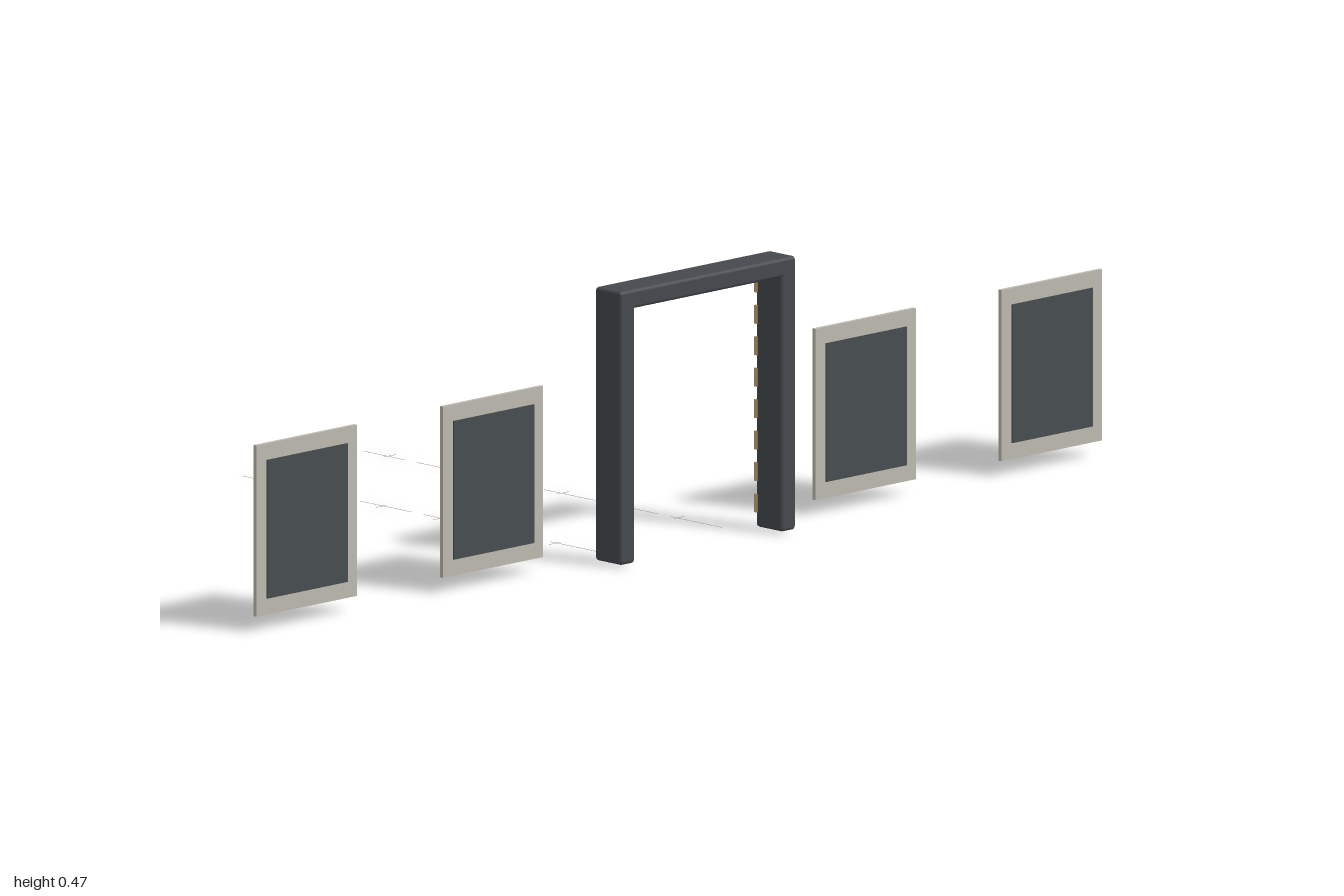
import * as THREE from 'three';
import { RoundedBoxGeometry } from 'three/addons/geometries/RoundedBoxGeometry.js';

export function createModel() {
  const model = new THREE.Group();
  const mat = (name, color) => {
    const m = new THREE.MeshStandardMaterial({ color });
    m.name = name;
    return m;
  };
  const charcoal = mat('charcoal', 0x45494e);
  const slate = mat('slate', 0x474d50);
  const stone = mat('stone', 0xbdbab0);
  const amber = mat('amber', 0xcca870);
  const pale = mat('pale', 0xf0e6d0);
  const marking = mat('marking', 0x94918a);
  marking.side = THREE.DoubleSide;

  const add = (parent, name, geometry, material, pos) => {
    const mesh = new THREE.Mesh(geometry, material);
    mesh.name = name;
    mesh.position.set(...pos);
    parent.add(mesh);
    return mesh;
  };
  const box = (parent, name, material, size, pos) =>
    add(parent, name, new THREE.BoxGeometry(...size), material, pos);
  const group = (name, x = 0) => {
    const g = new THREE.Group();
    g.name = name;
    g.position.x = x;
    model.add(g);
    return g;
  };

  // Gate: two soft-edged posts under a lintel
  const gate = group('gate');
  const z = 0.453;
  add(gate, 'lintel', new RoundedBoxGeometry(0.414, 0.033, 0.063, 2, 0.006), charcoal, [0, 0.4575, z]);
  for (const side of [-1, 1]) {
    add(gate, 'post', new RoundedBoxGeometry(0.034, 0.464, 0.063, 2, 0.006), charcoal, [side * 0.19, 0.236, z]);
    // Light bars along the inner back edge of the post
    for (let i = 0; i < 8; i++) {
      box(gate, 'postLight', amber, [0.012, 0.032, 0.006], [side * 0.178, 0.045 + i * 0.054, 0.4225]);
    }
  }
  box(gate, 'lintelLight', pale, [0.245, 0.005, 0.007], [0, 0.4395, 0.4185]);

  // Four framed wall panels
  for (const x of [-0.88, -0.44, 0.44, 0.88]) {
    const panel = group('wallPanel', x);
    box(panel, 'panelFrame', stone, [0.237, 0.294, 0.0075], [0, 0.173, 0.4108]);
    box(panel, 'panelFace', slate, [0.19, 0.238, 0.003], [0, 0.173, 0.4155]);
    box(panel, 'backRail', amber, [0.135, 0.006, 0.002], [0, 0.243, 0.4062]);
  }

  // Dashed floor lines with cross ticks behind the gate, flat on the ground
  const floor = group('floorMarkings');
  const stripe = (name, width, length, x, zPos) => {
    const geometry = new THREE.PlaneGeometry(width, length).rotateX(-Math.PI / 2);
    add(floor, name, geometry, marking, [x, 0, zPos]);
  };
  for (const side of [-1, 1]) {
    for (let i = 0; i < 6; i++) {
      const front = 0.375 - i * 0.152;
      const back = Math.max(front - 0.124, -0.485);
      stripe('floorDash', 0.0025, front - back, side * 0.142, (front + back) / 2);
      stripe('floorTick', 0.027, 0.0025, side * 0.147, 0.265 - i * 0.138);
    }
  }
  return model;
}
